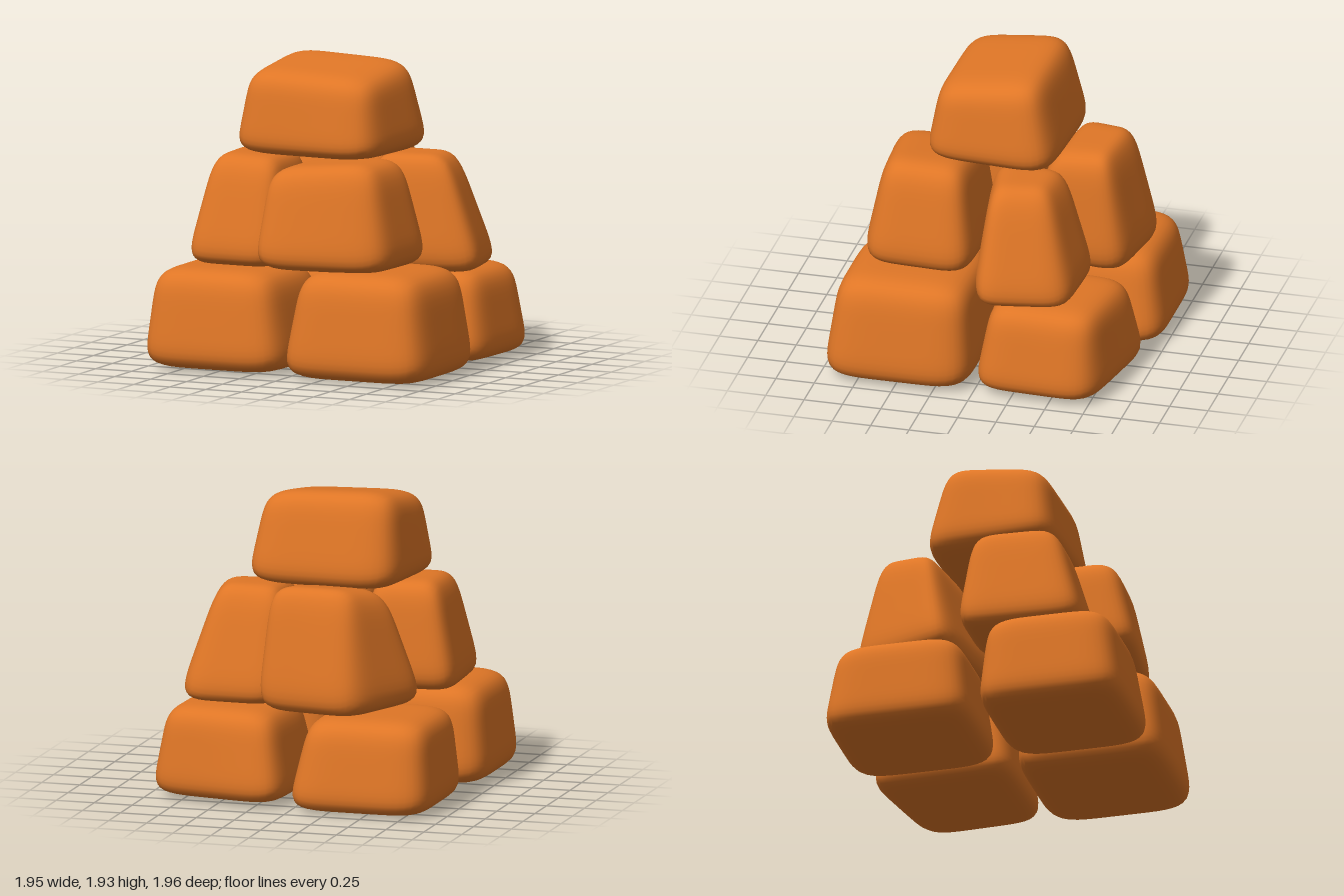
import * as THREE from 'three';
import { mergeVertices } from 'three/addons/utils/BufferGeometryUtils.js';

const N = 5.5; // edge squareness of the boulders

// Point of a skewed footprint [x0, x1, z0, z1]; u and w run from -1 to 1.
// skew: shift of x along z, shift of z along x, then the uneven part of each.
function footprint([x0, x1, z0, z1], skew, u, w) {
  const [sx, sz, px, pz] = skew;
  return [
    (x0 + x1 + (x1 - x0) * u) / 2 + sx * w + px * u * w,
    (z0 + z1 + (z1 - z0) * w) / 2 + sz * u + pz * u * w,
  ];
}

// Rounded block fitted between a base and a smaller top; tilt is the top's slope along x and z
function rockGeometry({ y, base, top, skew = [0, 0, 0, 0], tilt = [0, 0] }) {
  let geo = new THREE.BoxGeometry(2, 2, 2, 16, 16, 16);
  geo.deleteAttribute('normal');
  geo.deleteAttribute('uv');
  geo = mergeVertices(geo);
  const pos = geo.attributes.position;
  const topSkew = skew.map((s) => s / 2);
  const mid = footprint(top, topSkew, 0, 0);
  const p = new THREE.Vector3();
  for (let i = 0; i < pos.count; i++) {
    p.fromBufferAttribute(pos, i);
    const r = Math.abs(p.x) ** N + Math.abs(p.y) ** N + Math.abs(p.z) ** N;
    p.divideScalar(r ** (1 / N));
    const t = (p.y + 1) / 2;
    const lo = footprint(base, skew, p.x, p.z);
    const hi = footprint(top, topSkew, p.x, p.z);
    const x = lo[0] + (hi[0] - lo[0]) * t;
    const z = lo[1] + (hi[1] - lo[1]) * t;
    const slope = t * (tilt[0] * (x - mid[0]) + tilt[1] * (z - mid[1]));
    pos.setXYZ(i, x, y[0] + (y[1] - y[0]) * t + slope, z);
  }
  geo.computeVertexNormals();
  return geo;
}

export function createModel() {
  const group = new THREE.Group();
  group.name = 'rockPile';
  const stone = new THREE.MeshStandardMaterial({ color: 0xdf7626 });
  stone.name = 'orangeStone';

  const addRock = (name, shape) => {
    const mesh = new THREE.Mesh(rockGeometry(shape), stone);
    mesh.name = name;
    group.add(mesh);
  };

  // Lower layer
  addRock('lowerFrontRight', {
    y: [0.01, 0.65], base: [-1, 0, 0.02, 0.985], top: [-0.935, -0.13, 0.09, 0.885],
  });
  addRock('lowerFrontLeft', {
    y: [0, 0.685], base: [-0.035, 1, 0.005, 1], top: [0.08, 0.89, 0.065, 0.9],
  });
  addRock('lowerBackRight', {
    y: [0, 0.6], base: [-0.93, 0.035, -1.01, -0.025], top: [-0.87, -0.1, -0.9, -0.1],
  });
  addRock('lowerBackLeft', {
    y: [0.015, 0.6], base: [0.025, 0.97, -0.89, 0.015], top: [0.14, 0.865, -0.8, -0.09],
    skew: [-0.02, 0.05, 0, -0.04],
  });

  // Middle layer
  addRock('middleFrontRight', {
    y: [0.64, 1.335], base: [-0.845, -0.18, -0.14, 0.695], top: [-0.7, -0.255, -0.05, 0.49],
    skew: [0.02, 0, 0, 0], tilt: [-0.04, 0],
  });
  addRock('middleFrontLeft', {
    y: [0.665, 1.335], base: [-0.245, 0.68, 0.065, 0.865], top: [-0.19, 0.52, 0.17, 0.715],
    skew: [-0.02, -0.025, 0, -0.03], tilt: [0.08, 0],
  });
  addRock('middleBackRight', {
    y: [0.6, 1.38], base: [-0.605, 0.225, -0.885, -0.115], top: [-0.425, 0.175, -0.72, -0.33],
    skew: [-0.115, 0.07, 0.05, 0.015], tilt: [0, -0.14],
  });
  addRock('middleBackLeft', {
    y: [0.59, 1.33], base: [0.145, 0.9, -0.645, 0.08], top: [0.2, 0.65, -0.43, -0.02],
    skew: [0.03, -0.03, 0.04, -0.05],
  });

  // Capstone
  addRock('topRock', {
    y: [1.325, 1.895], base: [-0.58, 0.45, -0.435, 0.465], top: [-0.5, 0.355, -0.28, 0.38],
    skew: [-0.045, 0.025, 0, 0], tilt: [-0.03, -0.15],
  });
  return group;
}
